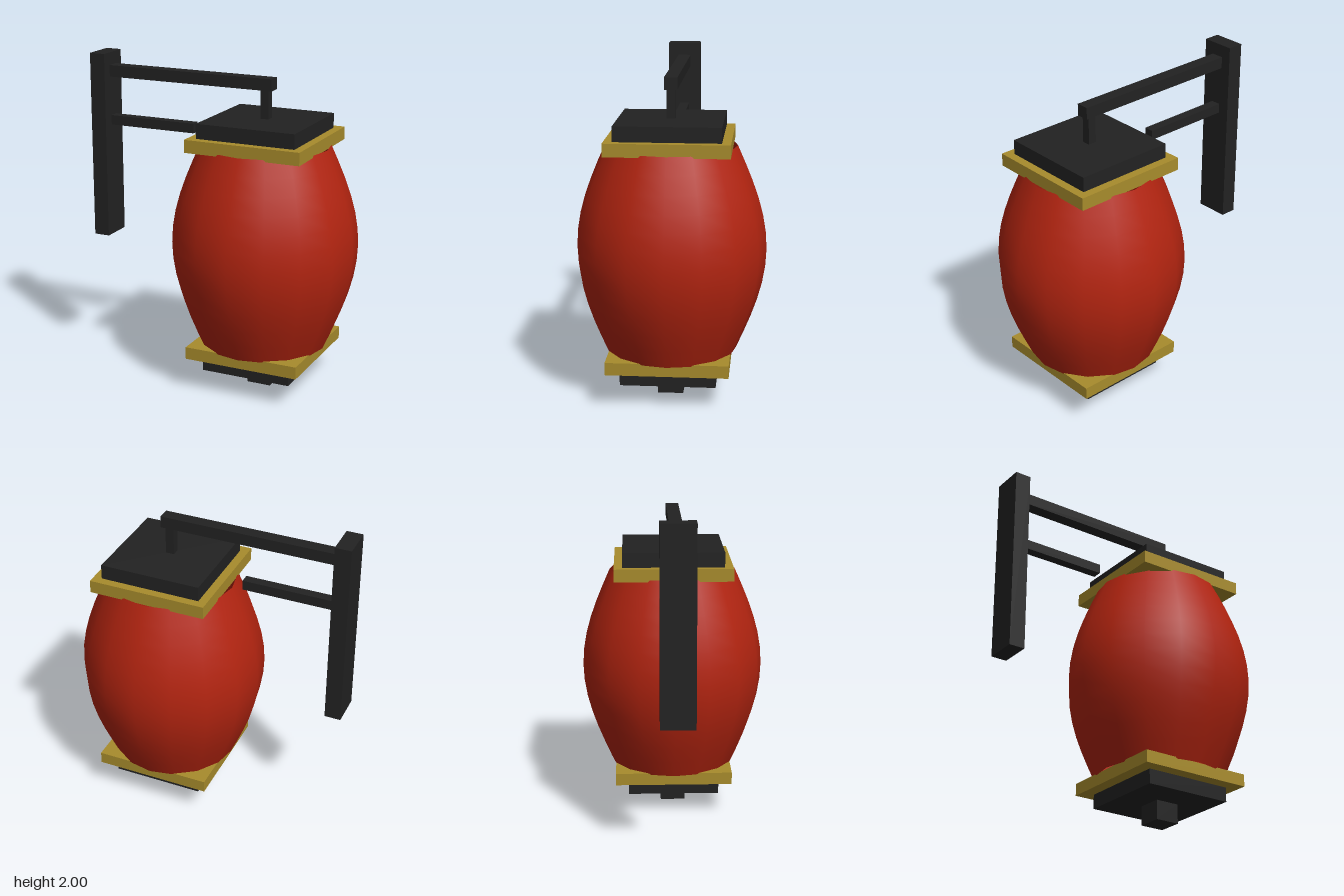
import * as THREE from 'three';

export function createModel() {
  const model = new THREE.Group();
  model.name = 'wallLantern';

  const material = (name, color, side = THREE.FrontSide) => {
    const m = new THREE.MeshStandardMaterial({ color, side });
    m.name = name;
    return m;
  };
  const iron = material('blackIron', 0x222222);
  const gold = material('gold', 0xa88c2c);
  const red = material('redPaper', 0xb22410, THREE.DoubleSide);

  // Box given by its extents in x and y, centred on z = 0
  const addBox = (name, mat, x0, x1, y0, y1, depth, parent) => {
    const mesh = new THREE.Mesh(new THREE.BoxGeometry(x1 - x0, y1 - y0, depth), mat);
    mesh.position.set((x0 + x1) / 2, (y0 + y1) / 2, 0);
    mesh.name = name;
    parent.add(mesh);
  };

  // Wall bracket
  const bracket = new THREE.Group();
  bracket.name = 'bracket';
  addBox('wallPost', iron, -0.857, -0.757, 0.835, 2, 0.204, bracket);
  addBox('upperArm', iron, -0.757, 0.333, 1.85, 1.922, 0.078, bracket);
  addBox('lowerArm', iron, -0.757, -0.185, 1.545, 1.605, 0.06, bracket);
  model.add(bracket);

  // Lantern, hung from the end of the upper arm
  const lantern = new THREE.Group();
  lantern.name = 'lantern';
  lantern.position.x = 0.283;
  model.add(lantern);

  // Square plates and rods, each with half width and height range
  const stack = [
    ['hangerRod', iron, 0.026, 1.678, 1.85],
    ['topCap', iron, 0.311, 1.588, 1.678],
    ['topRim', gold, 0.363, 1.51, 1.588],
    ['bottomRim', gold, 0.363, 0.21, 0.286],
    ['bottomCap', iron, 0.284, 0.12, 0.21],
    ['bottomFinial', iron, 0.077, 0, 0.12],
  ];
  for (const [name, mat, h, y0, y1] of stack) addBox(name, mat, -h, h, y0, y1, 2 * h, lantern);

  // Open barrel-shaped paper shade with sixteen sides
  const profile = [];
  const rows = 12;
  for (let i = 0; i <= rows; i++) {
    const t = i / rows;
    profile.push(new THREE.Vector2(0.391 + 0.176 * Math.sin(Math.PI * t), 0.277 + 1.245 * t));
  }
  const shade = new THREE.Mesh(new THREE.LatheGeometry(profile, 16), red);
  shade.name = 'shade';
  lantern.add(shade);

  return model;
}
